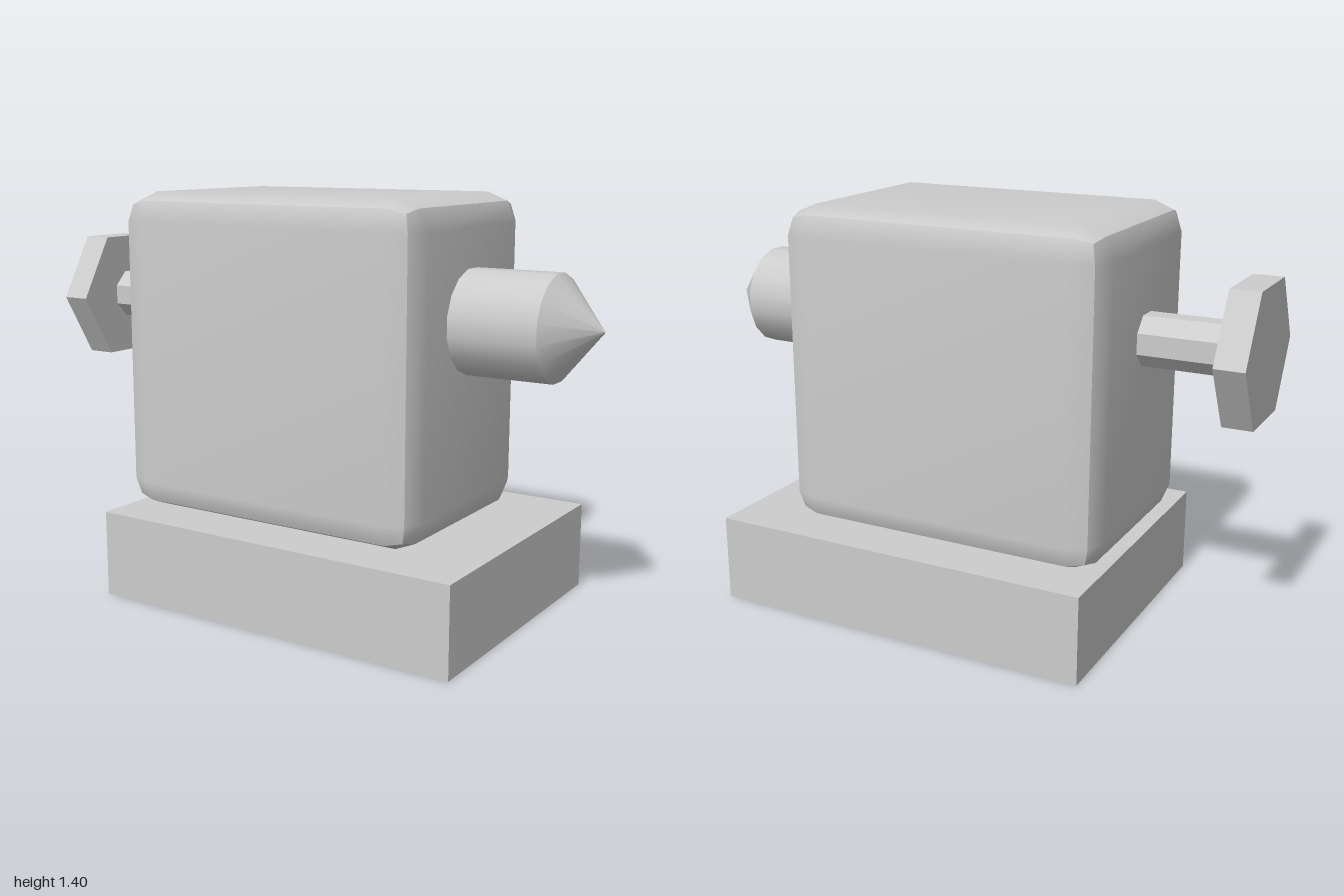
import * as THREE from 'three';

const grey = new THREE.MeshStandardMaterial({ color: 0xcccccc });
grey.name = 'light grey';
const greyFlat = grey.clone();
greyFlat.flatShading = true;

function part(name, geometry, material, x, y, z = 0) {
  const mesh = new THREE.Mesh(geometry, material);
  mesh.name = name;
  mesh.position.set(x, y, z);
  return mesh;
}

// Cylinder or cone lying along x, with an optional half-step turn of its sides
function barrel(rRight, rLeft, length, sides, turned, open = false) {
  const start = turned ? Math.PI / sides : 0;
  return new THREE.CylinderGeometry(rRight, rLeft, length, sides, 1, open, start)
    .rotateZ(-Math.PI / 2);
}

// Box with two-facet bevels; the six sides stay creased where they meet
function bevelledBox(w, h, d, r) {
  const geometry = new THREE.BoxGeometry(3, 3, 3, 3, 3, 3);
  const pos = geometry.attributes.position;
  const core = new THREE.Vector3(w / 2 - r, h / 2 - r, d / 2 - r);
  const p = new THREE.Vector3();
  const dir = new THREE.Vector3();
  const outer = (v) => (Math.abs(v) > 1 ? Math.sign(v) : 0);
  for (let i = 0; i < pos.count; i++) {
    p.fromBufferAttribute(pos, i);
    dir.set(outer(p.x), outer(p.y), outer(p.z)).normalize().multiplyScalar(r);
    p.set(Math.sign(p.x), Math.sign(p.y), Math.sign(p.z)).multiply(core).add(dir);
    pos.setXYZ(i, p.x, p.y, p.z);
  }
  geometry.computeVertexNormals();
  return geometry;
}

export function createModel() {
  const model = new THREE.Group();
  model.name = 'machine';

  // Base slab and main housing
  model.add(part('base', new THREE.BoxGeometry(1.35, 0.3, 1), grey, 0.075, 0.15));
  model.add(part('housing', bevelledBox(1.15, 1.1, 0.8, 0.1), grey, -0.025, 0.85));

  // Pointed spindle on the model's left
  const spindle = new THREE.Group();
  spindle.name = 'spindle';
  spindle.add(part('spindleShaft', barrel(0.174, 0.174, 0.35, 16, true), grey, 0.675, 1));
  spindle.add(part('spindleTip', barrel(0, 0.174, 0.15, 16, true, true), grey, 0.925, 1));
  model.add(spindle);

  // Octagonal rod with hexagonal handwheel on the model's right
  const handle = new THREE.Group();
  handle.name = 'handle';
  handle.add(part('handleRod', barrel(0.09, 0.09, 0.35, 8, true), greyFlat, -0.725, 1));
  handle.add(part('handwheel', barrel(0.25, 0.25, 0.1, 6, false), greyFlat, -0.95, 1));
  model.add(handle);

  return model;
}
